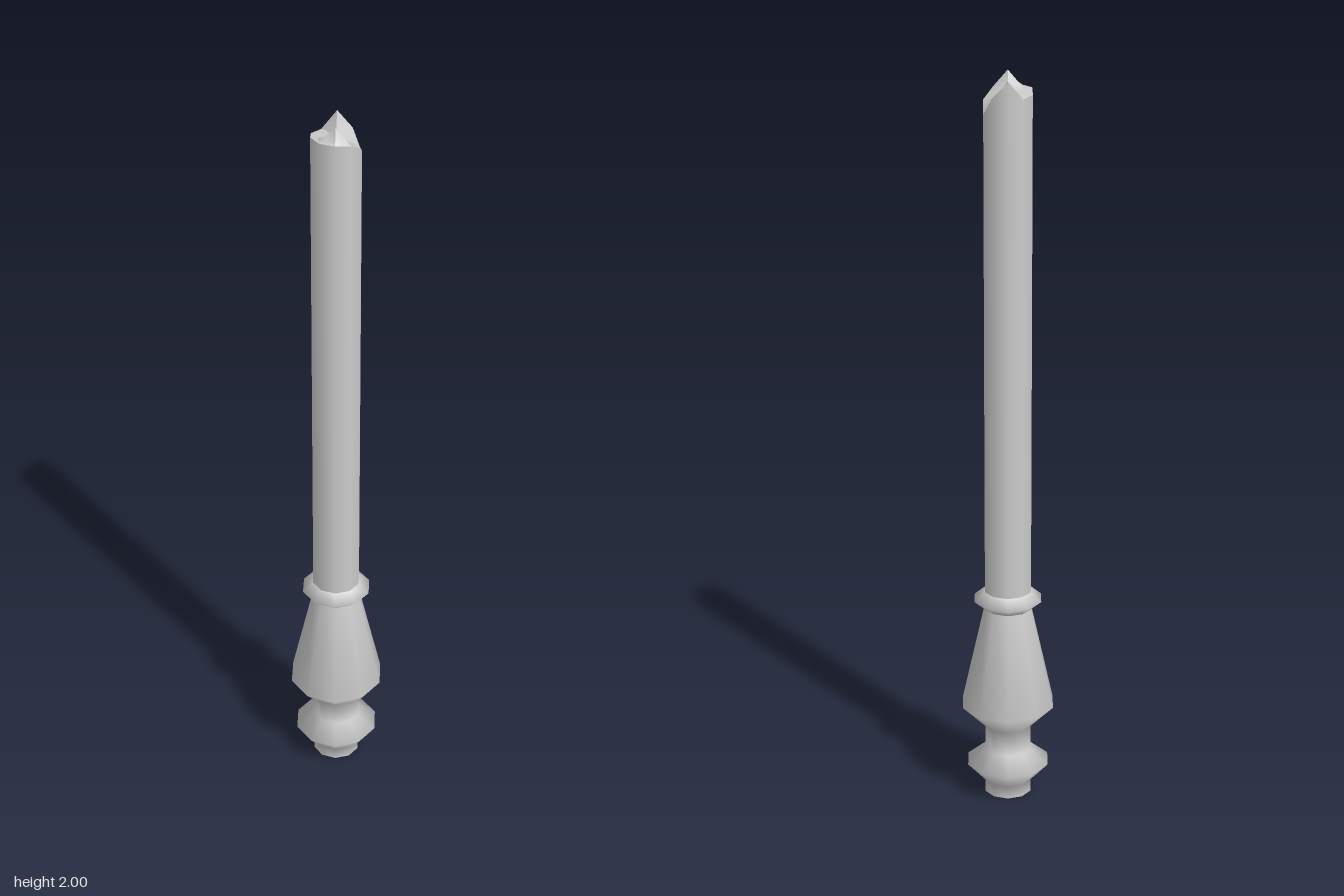
import * as THREE from 'three';
import { toCreasedNormals } from 'three/addons/utils/BufferGeometryUtils.js';

const SIDES = 10;
const SHAFT_R = 0.065;

// Heights of the splintered end, per corner, counted from +x towards +z
const RIM = [1.9, 1.93, 1.955, 1.96, 1.96, 1.96, 1.95, 1.945, 1.99, 1.95];
const INNER = [1.93, 1.94, 1.96, 2.0, 1.97, 1.955, 1.95, 1.95, 1.99, 1.95];
const CORE = 1.95;

export function createModel() {
  const group = new THREE.Group();
  const material = new THREE.MeshStandardMaterial({ color: 0xcccccc, side: THREE.DoubleSide });

  const add = (name, geometry) => {
    const mesh = new THREE.Mesh(geometry, material);
    mesh.name = name;
    group.add(mesh);
  };

  // Ten-sided turning with a corner on +x
  const turn = (profile) =>
    new THREE.LatheGeometry(profile.map(([r, y]) => new THREE.Vector2(r, y)), SIDES, Math.PI / 2);

  // Moves the vertices of a turning to heights given by radius and corner
  const reshape = (geometry, heightAt) => {
    const p = geometry.attributes.position;
    for (let i = 0; i < p.count; i++) {
      const x = p.getX(i), z = p.getZ(i);
      const k = Math.round((Math.atan2(z, x) / (2 * Math.PI)) * SIDES + SIDES) % SIDES;
      p.setY(i, heightAt(Math.hypot(x, z), k, p.getY(i)));
    }
    return geometry;
  };

  // Turned foot with its ring and the tapering bulb
  add('turnedBase', turn([
    [SHAFT_R, 0], [SHAFT_R, 0.035], [0.115, 0.09], [SHAFT_R, 0.13],
    [SHAFT_R, 0.2], [0.129, 0.265], [SHAFT_R, 0.55],
  ]));
  add('baseCap', new THREE.CircleGeometry(SHAFT_R, SIDES).rotateX(Math.PI / 2));

  // Collar between bulb and shaft
  add('collar', turn([[SHAFT_R, 0.55], [0.094, 0.575], [SHAFT_R, 0.6]]));

  // Long shaft ending in a jagged rim
  add('shaft', reshape(turn([[SHAFT_R, 0.6], [SHAFT_R, 2]]), (r, k, y) => (y > 1 ? RIM[k] : y)));

  // Splintered surface closing the broken end
  const fracture = reshape(turn([[SHAFT_R, 1.9], [0.046, 1.95], [0, 2]]), (r, k) =>
    r > 0.06 ? RIM[k] : r > 0.01 ? INNER[k] : CORE);
  add('brokenEnd', toCreasedNormals(fracture, 0.8));

  return group;
}
